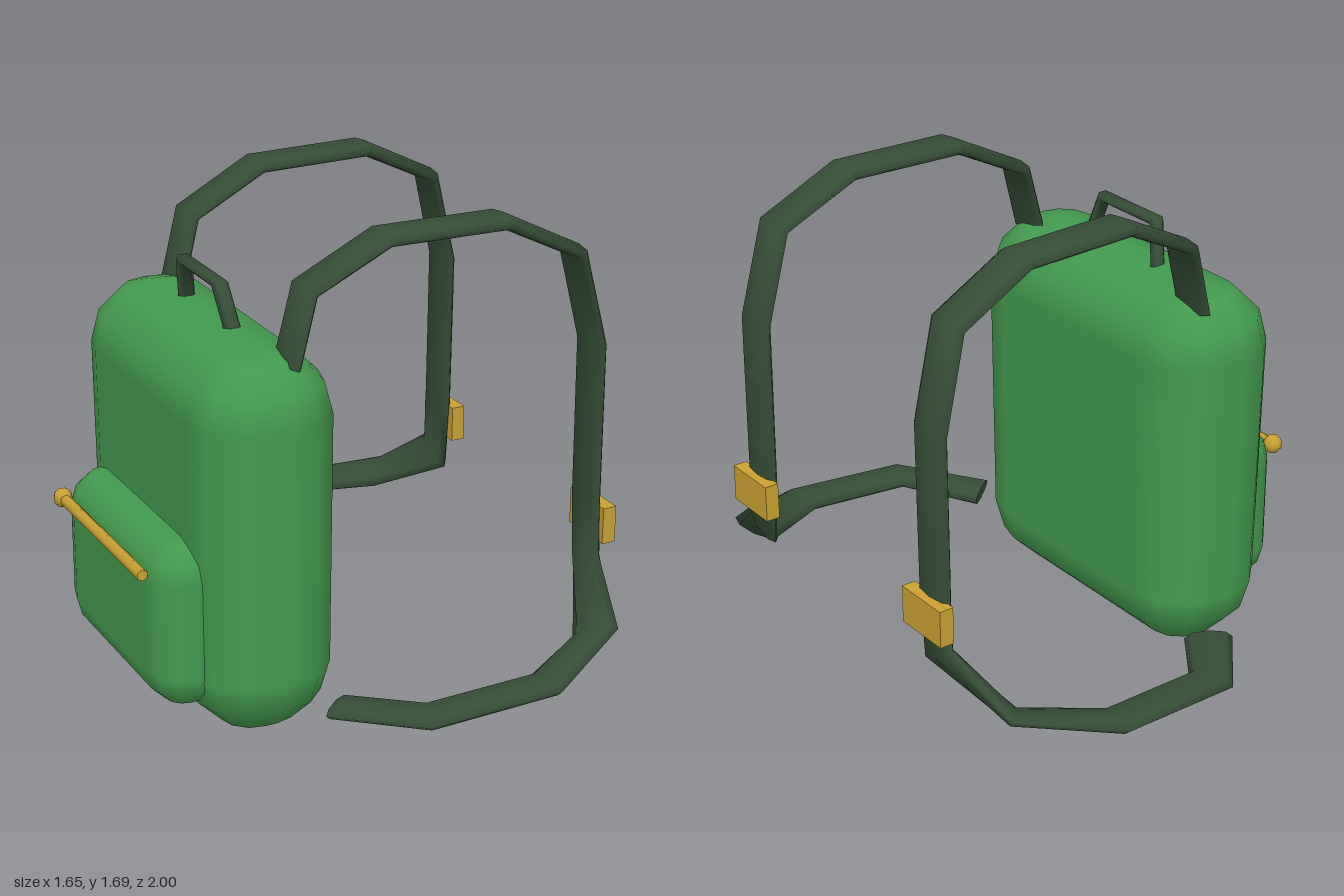
import * as THREE from 'three';

const mat = (name, color, extra = {}) => {
  const m = new THREE.MeshStandardMaterial({ color, ...extra });
  m.name = name;
  return m;
};

// Box with rounded edges: a sphere split into eight octants that are pushed apart.
function roundedBox(w, h, d, r, n, taper = 0) {
  const W = 4 * (n + 1), H = 2 * n + 3;
  const geo = new THREE.SphereGeometry(1, W, H);
  const pos = geo.attributes.position, nor = geo.attributes.normal;
  const q90 = Math.PI / 2;
  for (let iy = 0; iy <= H; iy++) {
    const pole = iy === 0 || iy === H;
    const top = iy <= n + 1;
    const theta = pole ? (top ? 0 : Math.PI) : top ? (iy - 1) / n * q90 : q90 + (iy - n - 2) / n * q90;
    for (let ix = 0; ix <= W; ix++) {
      const q = Math.floor(ix / (n + 1)) % 4, k = ix % (n + 1);
      const phi = (q + k / n) * q90, mid = (q + 0.5) * q90;
      const nx = -Math.cos(phi) * Math.sin(theta), ny = Math.cos(theta), nz = Math.sin(phi) * Math.sin(theta);
      const y = (top ? 1 : -1) * (h / 2 - r) + ny * r;
      const x = pole ? 0 : -Math.sign(Math.cos(mid)) * (w / 2 - r) + nx * r;
      const z = pole ? 0 : Math.sign(Math.sin(mid)) * (d / 2 - r) + nz * r;
      const i = iy * (W + 1) + ix;
      pos.setXYZ(i, x, y, z * (1 - taper * (0.5 - y / h)));
      nor.setXYZ(i, nx, ny, nz);
    }
  }
  return geo;
}

// Ribbon with an oval section; each station is [centre, half-width vector].
function ribbon(stations, halfThick, sides) {
  const P = stations.map(s => new THREE.Vector3(...s[0]));
  const verts = [], index = [], rings = [];
  P.forEach((c, i) => {
    const t = new THREE.Vector3();
    if (i > 0) t.add(c.clone().sub(P[i - 1]).normalize());
    if (i < P.length - 1) t.add(P[i + 1].clone().sub(c).normalize());
    const w = new THREE.Vector3(...stations[i][1]);
    const n = t.cross(w).normalize().multiplyScalar(halfThick);
    const ring = [];
    for (let j = 0; j < sides; j++) {
      const a = j / sides * Math.PI * 2;
      ring.push(c.clone().addScaledVector(w, Math.cos(a)).addScaledVector(n, Math.sin(a)));
    }
    rings.push(ring);
    ring.forEach(v => verts.push(v.x, v.y, v.z));
  });
  for (let i = 0; i < P.length - 1; i++) {
    for (let j = 0; j < sides; j++) {
      const a = i * sides + j, b = i * sides + (j + 1) % sides;
      index.push(a, b, a + sides, b, b + sides, a + sides);
    }
  }
  // end caps with their own vertices
  [0, P.length - 1].forEach(i => {
    const base = verts.length / 3;
    rings[i].forEach(v => verts.push(v.x, v.y, v.z));
    for (let j = 1; j < sides - 1; j++) {
      if (i === 0) index.push(base, base + j + 1, base + j);
      else index.push(base, base + j, base + j + 1);
    }
  });
  const geo = new THREE.BufferGeometry();
  geo.setAttribute('position', new THREE.Float32BufferAttribute(verts, 3));
  geo.setIndex(index);
  geo.computeVertexNormals();
  return geo;
}

export function createModel() {
  const root = new THREE.Group();
  root.name = 'backpack';
  const green = mat('green fabric', 0x43994d);
  const webbing = mat('dark green webbing', 0x354d36);
  const gold = mat('gold metal', 0xc9a032);
  const add = (name, geo, material, x = 0, y = 0, z = 0) => {
    const m = new THREE.Mesh(geo, material);
    m.name = name;
    m.position.set(x, y, z);
    root.add(m);
    return m;
  };

  // main bag and outer pocket
  add('bagBody', roundedBox(0.49, 1.335, 1.205, 0.225, 3, 0.06), green, -0.4, 0.667, 0);
  add('pocket', roundedBox(0.275, 0.595, 0.865, 0.13, 3), green, -0.637, 0.408, 0);

  // zip bar with a knob at one end
  const bar = add('zipBar', new THREE.CylinderGeometry(0.02, 0.02, 0.69, 6), gold, -0.79, 0.605, -0.015);
  bar.rotation.x = Math.PI / 2;
  add('zipKnob', new THREE.SphereGeometry(0.034, 8, 6), gold, -0.79, 0.605, -0.357);

  // carrying handle
  const hw = [0.03, 0, 0];
  add('handle', ribbon([
    [[-0.385, 1.29, -0.188], hw], [[-0.415, 1.472, -0.138], hw],
    [[-0.415, 1.472, 0.138], hw], [[-0.385, 1.29, 0.188], hw],
  ], 0.021, 6), webbing);

  // shoulder straps and buckles, mirrored across the middle
  const strap = [
    [[-0.325, 1.285, 0.44], [0, 0, 0.085]],
    [[-0.265, 1.525, 0.443], [0, 0, 0.085]],
    [[0, 1.66, 0.455], [0, 0, 0.085]],
    [[0.42, 1.66, 0.472], [0, 0, 0.085]],
    [[0.69, 1.525, 0.488], [0, 0, 0.085]],
    [[0.77, 1.2, 0.5], [0, 0, 0.085]],
    [[0.77, 0.63, 0.508], [0, 0, 0.083]],
    [[0.77, 0.42, 0.523], [0, 0.04, 0.075]],
    [[0.66, 0.262, 0.765], [0.05, 0.03, 0.06]],
    [[0.37, 0.212, 0.92], [0.01, 0.005, 0.08]],
    [[-0.05, 0.187, 0.895], [-0.03, 0, 0.076]],
    [[-0.255, 0.153, 0.65], [-0.065, 0.005, 0.05]],
  ];
  for (const [side, s] of [['left', 1], ['right', -1]]) {
    const flip = v => [v[0], v[1], v[2] * s];
    add(side + 'Strap', ribbon(strap.map(([c, w]) => [flip(c), flip(w)]), 0.026, 8), webbing);
    add(side + 'Buckle', new THREE.BoxGeometry(0.05, 0.13, 0.205), gold, 0.8, 0.565, 0.508 * s);
  }
  return root;
}
